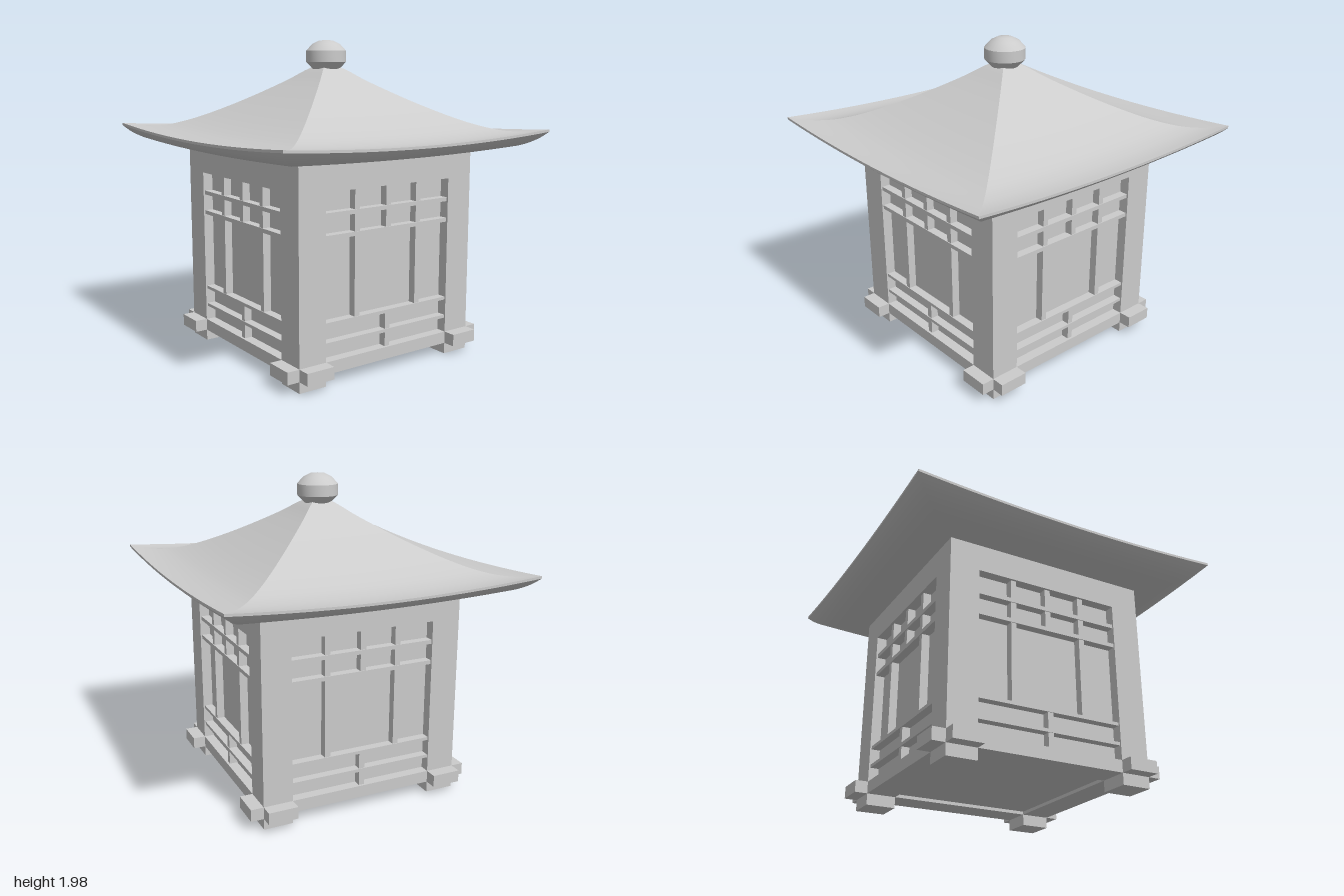
import * as THREE from 'three';
import { mergeGeometries, toCreasedNormals } from 'three/addons/utils/BufferGeometryUtils.js';

const mat = new THREE.MeshStandardMaterial({ color: 0xcccccc });
const OUT = 0.65, IN = 0.465, MID = (OUT + IN) / 2, W = OUT - IN;
const WALL = 0.585, ROOF_Z = 0.97;

function add(parent, name, geo) {
  const mesh = new THREE.Mesh(geo, mat);
  mesh.name = name;
  parent.add(mesh);
  return mesh;
}

// box given by its min and max on each axis
function box(x0, x1, y0, y1, z0, z1) {
  return new THREE.BoxGeometry(x1 - x0, y1 - y0, z1 - z0)
    .translate((x0 + x1) / 2, (y0 + y1) / 2, (z0 + z1) / 2);
}

// one quarter of the roof: sweeps [half size, height] points, corners lifted
function roofQuarter(points, steps, cols = 24) {
  const curve = new THREE.SplineCurve(points.map(p => new THREE.Vector2(...p)));
  const pos = [], index = [];
  for (let i = 0; i <= steps; i++) {
    const { x: s, y } = curve.getPoint(i / steps);
    for (let j = 0; j <= cols; j++) {
      const u = (j / cols) * 2 - 1;
      pos.push(u * s, y + 0.038 * u * u * s ** 5, s);
      if (i < steps && j < cols) {
        const a = i * (cols + 1) + j, b = a + cols + 1;
        index.push(a, b, b + 1, a, b + 1, a + 1);
      }
    }
  }
  const geo = new THREE.BufferGeometry();
  geo.setAttribute('position', new THREE.Float32BufferAttribute(pos, 3));
  geo.setIndex(index);
  return geo;
}

function fourSides(geo) {
  const sides = [0, 1, 2, 3].map(k => geo.clone().rotateY(k * Math.PI / 2));
  const all = mergeGeometries(sides).scale(1, 1, ROOF_Z);
  all.computeVertexNormals();
  return all;
}

export function createModel() {
  const model = new THREE.Group();
  model.name = 'lantern';

  // corner posts
  for (const x of [-MID, MID]) for (const z of [-MID, MID]) {
    add(model, 'cornerPost', box(x - W / 2, x + W / 2, 0, 1.3, z - W / 2, z + W / 2));
  }

  // crossed base beams that stick out past the posts
  for (const s of [-MID, MID]) {
    add(model, 'baseBeam', box(-0.73, 0.73, 0.07, 0.145, s - W / 2, s + W / 2));
    add(model, 'baseBeam', box(s - W / 2, s + W / 2, 0.07, 0.145, -0.73, 0.73));
  }

  // closed inner box: wall panels and floor
  add(model, 'wallPanels', box(-WALL, WALL, 0.09, 1.3, -WALL, WALL));

  // lintel and lattice on each side
  for (let k = 0; k < 4; k++) {
    const side = new THREE.Group();
    side.name = 'latticeSide';
    side.rotation.y = k * Math.PI / 2;
    model.add(side);
    add(side, 'lintel', box(-IN, IN, 1.135, 1.3, IN, OUT));
    for (const [y0, y1] of [[0.235, 0.255], [0.355, 0.375], [0.86, 0.885], [0.99, 1.015]]) {
      add(side, 'latticeRail', box(-IN, IN, y0, y1, WALL - 0.01, 0.64));
    }
    const bar = (x, y0, y1) =>
      add(side, 'latticeBar', box(x - 0.018, x + 0.018, y0, y1, WALL - 0.01, 0.635));
    for (const x of [-0.232, 0.232]) bar(x, 0.375, 1.135);
    bar(0, 0.885, 1.135);
    bar(0, 0.145, 0.355);
  }

  // swept roof: upper surface, thin eave edge and hollow underside
  const roof = new THREE.Group();
  roof.name = 'roof';
  model.add(roof);
  add(roof, 'roofTop', fourSides(roofQuarter([
    [0.05, 1.82], [0.1, 1.79], [0.2, 1.718], [0.4, 1.596], [0.6, 1.49],
    [0.75, 1.428], [0.85, 1.404], [0.93, 1.397], [1, 1.399]], 32)));
  add(roof, 'eaveEdge', fourSides(roofQuarter([[1, 1.399], [1, 1.384]], 1)));
  add(roof, 'roofUnderside', fourSides(roofQuarter([
    [1, 1.384], [0.95, 1.347], [0.87, 1.316], [0.75, 1.306], [0.58, 1.299]], 16)));

  // finial
  const profile = [[0, 1.79], [0.08, 1.795], [0.127, 1.845], [0.127, 1.915],
    [0.088, 1.957], [0.045, 1.978], [0, 1.982]].map(p => new THREE.Vector2(...p));
  add(model, 'finial', toCreasedNormals(new THREE.LatheGeometry(profile, 24), 0.6));

  return model;
}
